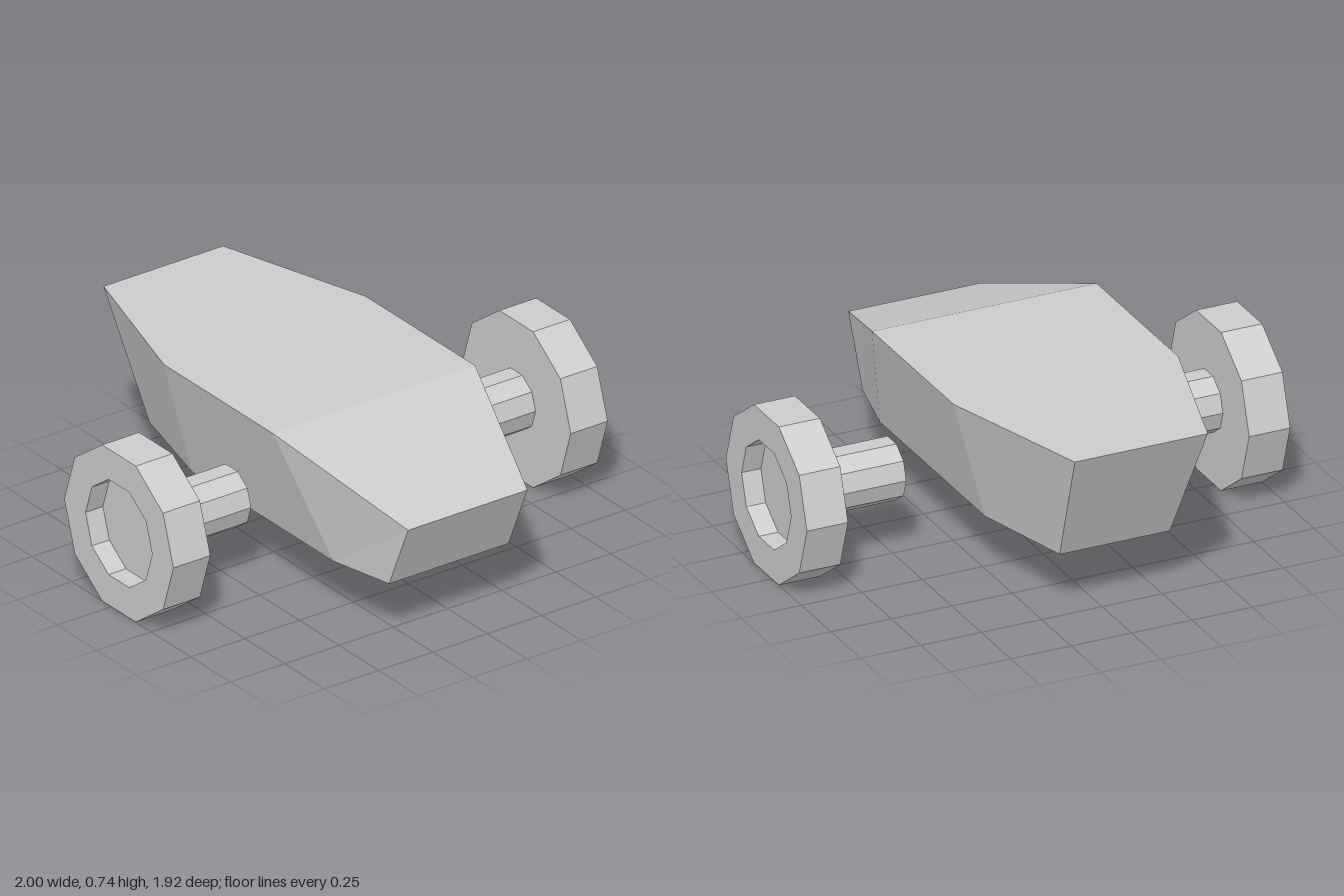
import * as THREE from 'three';

const material = new THREE.MeshStandardMaterial({ color: 0xcccccc, flatShading: true });

function addMesh(parent, geometry, name) {
  const flat = geometry.index ? geometry.toNonIndexed() : geometry;
  flat.computeVertexNormals();
  const mesh = new THREE.Mesh(flat, material);
  mesh.name = name;
  parent.add(mesh);
  return mesh;
}

// Faceted hull lofted through four slanted sections, from back to front
function hullGeometry() {
  const bottomY = 0.245;
  // [top z, top y, top half width, bottom z, bottom half width]
  const sections = [
    [-0.96, 0.735, 0.275, -0.735, 0.228],
    [-0.32, 0.735, 0.465, -0.32, 0.335],
    [0.37, 0.735, 0.465, 0.57, 0.335],
    [0.96, 0.52, 0.275, 0.84, 0.275],
  ];
  const positions = [];
  const index = [];
  for (const [tz, ty, tw, bz, bw] of sections) {
    positions.push(-tw, ty, tz, tw, ty, tz, bw, bottomY, bz, -bw, bottomY, bz);
  }
  for (let i = 0; i < sections.length - 1; i++) {
    for (let j = 0; j < 4; j++) {
      const a = i * 4 + j;
      const b = i * 4 + ((j + 1) % 4);
      const c = b + 4;
      const d = a + 4;
      index.push(a, d, c, a, c, b);
    }
  }
  // Stern and nose plates
  const n = (sections.length - 1) * 4;
  index.push(0, 1, 2, 0, 2, 3, n, n + 2, n + 1, n, n + 3, n + 2);
  const geometry = new THREE.BufferGeometry();
  geometry.setAttribute('position', new THREE.Float32BufferAttribute(positions, 3));
  geometry.setIndex(index);
  return geometry;
}

// Ten-sided wheel with a recessed outer face, built along +y
function wheelGeometry() {
  const profile = [
    [0, 0], [0.344, 0], [0.344, 0.17], [0.21, 0.17], [0.21, 0.09], [0, 0.09],
  ].map(([r, y]) => new THREE.Vector2(r, y));
  return new THREE.LatheGeometry(profile, 10);
}

export function createModel() {
  const model = new THREE.Group();
  model.name = 'wheeledHull';

  const hull = addMesh(model, hullGeometry(), 'hull');
  hull.position.x = -0.06;

  // Wheel and axle stub on each side, outward along local +y
  for (const [side, label] of [[1, 'left'], [-1, 'right']]) {
    const assembly = new THREE.Group();
    assembly.name = label + 'WheelAssembly';
    assembly.position.set(0, 0.327, 0.047);
    assembly.rotation.z = -side * Math.PI / 2;
    const axle = addMesh(assembly, new THREE.CylinderGeometry(0.122, 0.122, 0.35, 10), label + 'Axle');
    axle.position.y = 0.655;
    const wheel = addMesh(assembly, wheelGeometry(), label + 'Wheel');
    wheel.position.y = 0.83;
    model.add(assembly);
  }
  return model;
}
